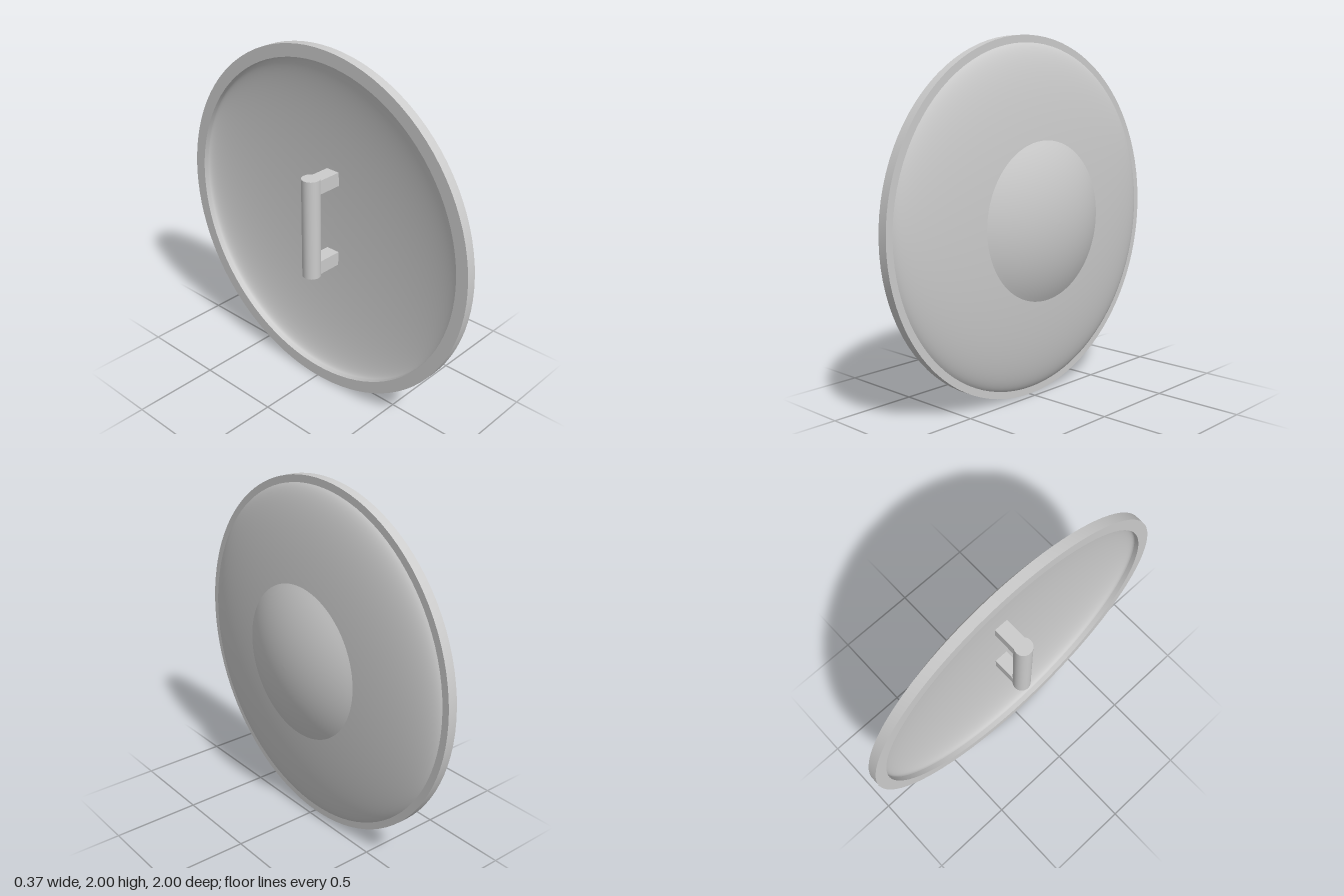
import * as THREE from 'three';
import { toCreasedNormals } from 'three/addons/utils/BufferGeometryUtils.js';

const SEGMENTS = 96;

export function createModel() {
  const model = new THREE.Group();
  model.name = 'roundShield';
  const material = new THREE.MeshStandardMaterial({ color: 0xcccccc });

  const add = (name, geometry, parent = model) => {
    const mesh = new THREE.Mesh(geometry, material);
    mesh.name = name;
    parent.add(mesh);
    return mesh;
  };

  // Elliptical dome profile, from radius r at the edge to the axis
  const dome = (r, R, base, height, steps) =>
    Array.from({ length: steps + 1 }, (_, i) => {
      const a = Math.asin(r / R) * (1 - i / steps);
      return new THREE.Vector2(R * Math.sin(a), base + height * Math.cos(a));
    });
  const lathe = (points) => new THREE.LatheGeometry(points, SEGMENTS);

  // Turned parts: the lathe axis is laid along +x, where the shield faces
  const disc = new THREE.Group();
  disc.name = 'disc';
  disc.rotation.z = -Math.PI / 2;
  disc.position.y = 1;
  model.add(disc);

  // Flat square-edged rim
  const rim = [[0.93, -0.095], [1, -0.095], [1, -0.04], [0.93, -0.04], [0.93, -0.095]]
    .map(([r, h]) => new THREE.Vector2(r, h));
  add('rim', toCreasedNormals(lathe(rim), 0.6), disc);

  // Curved body: convex face and hollow back
  add('face', lathe(dome(0.96, 0.97, -0.06, 0.15, 32)), disc);
  add('hollowBack', lathe(dome(0.93, 0.93, -0.065, 0.105, 32).reverse()), disc);

  // Central boss
  add('boss', lathe(dome(0.44, 0.7, -0.293, 0.473, 16)), disc);

  // Hand grip and its two mounts
  const grip = add('grip', new THREE.CylinderGeometry(0.052, 0.052, 0.59, 32));
  grip.position.set(-0.135, 1.005, 0);
  for (const side of [1, -1]) {
    const mount = add(side > 0 ? 'upperMount' : 'lowerMount', new THREE.BoxGeometry(0.19, 0.08, 0.085));
    mount.position.set(-0.04, 1.005 + side * 0.245, 0);
  }

  return model;
}
